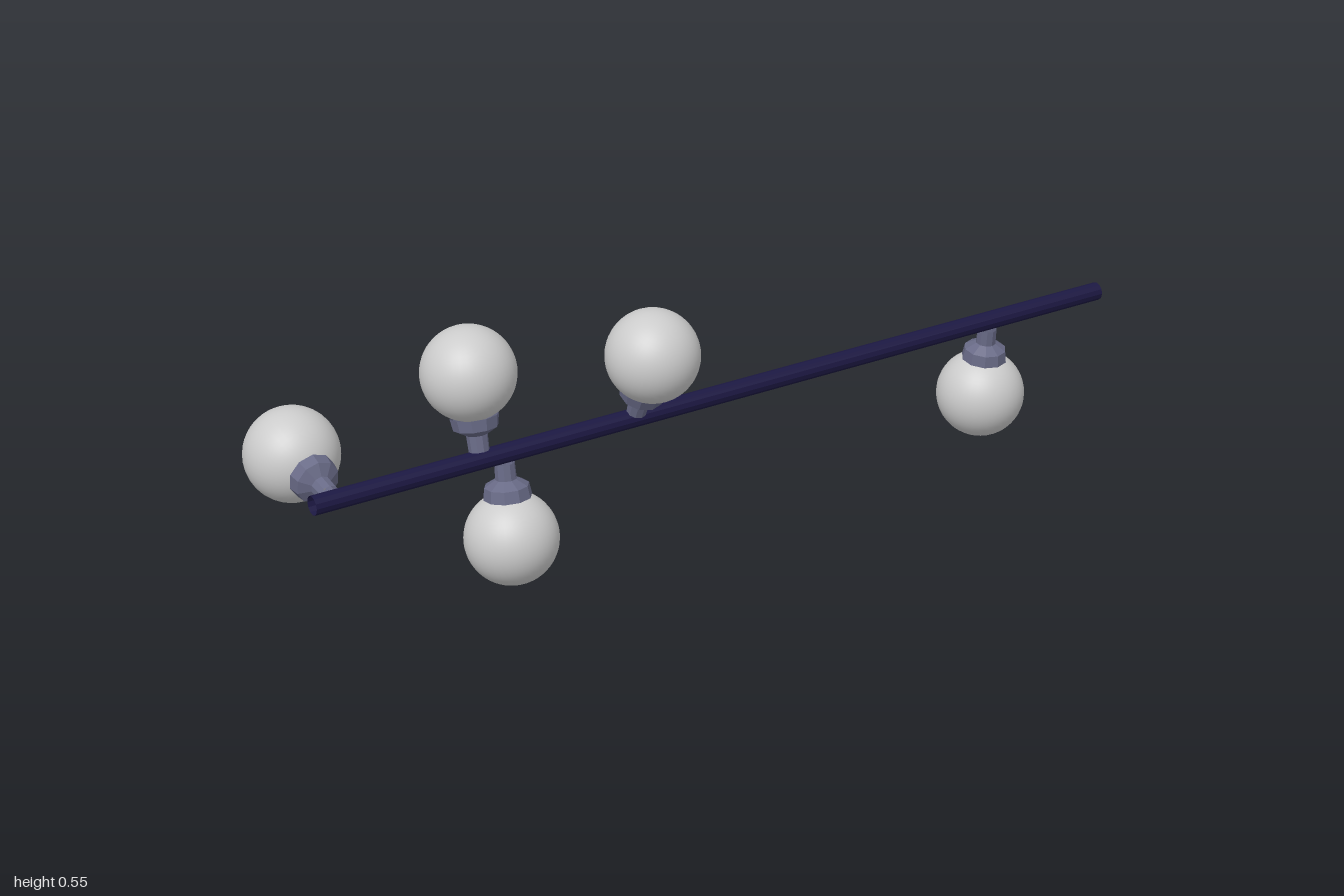
import * as THREE from 'three';

const ROD_Y = 0.277, ROD_Z = 0.053;

export function createModel() {
  const model = new THREE.Group();
  model.name = 'globeLightBar';

  const rodMat = new THREE.MeshStandardMaterial({ color: 0x1c1842, flatShading: true, side: THREE.DoubleSide });
  const socketMat = new THREE.MeshStandardMaterial({ color: 0x686a86, flatShading: true, side: THREE.DoubleSide });
  const globeMat = new THREE.MeshStandardMaterial({ color: 0xcccccc });

  // Long open tube that carries the lamps
  const rodGeo = new THREE.CylinderGeometry(0.02, 0.02, 1.95, 12, 1, true);
  rodGeo.rotateZ(Math.PI / 2);
  const rod = new THREE.Mesh(rodGeo, rodMat);
  rod.name = 'rod';
  rod.position.set(0.025, ROD_Y, ROD_Z);
  model.add(rod);

  // Socket profile: stem, sloping shoulder, collar around the globe
  const profile = [[0.021, 0.019], [0.022, 0.053], [0.046, 0.067], [0.05, 0.092]];
  const socketGeo = new THREE.LatheGeometry(profile.map(([r, h]) => new THREE.Vector2(r, h)), 10);
  const globeGeo = new THREE.SphereGeometry(0.097, 40, 28);

  // Lamps: position along the rod and the direction (y, z) they point
  const lamps = [
    [-0.903, 0.028, -0.175],
    [-0.578, 0.173, -0.037],
    [-0.525, -0.179, 0.023],
    [-0.217, 0.164, 0.071],
    [0.695, -0.179, -0.019],
  ];
  for (const [x, dy, dz] of lamps) {
    const lamp = new THREE.Group();
    lamp.name = 'lamp';
    lamp.position.set(x, ROD_Y, ROD_Z);
    lamp.rotation.x = Math.atan2(dz, dy);

    const socket = new THREE.Mesh(socketGeo, socketMat);
    socket.name = 'socket';
    const globe = new THREE.Mesh(globeGeo, globeMat);
    globe.name = 'globe';
    globe.position.y = 0.179;
    lamp.add(socket, globe);
    model.add(lamp);
  }
  return model;
}
